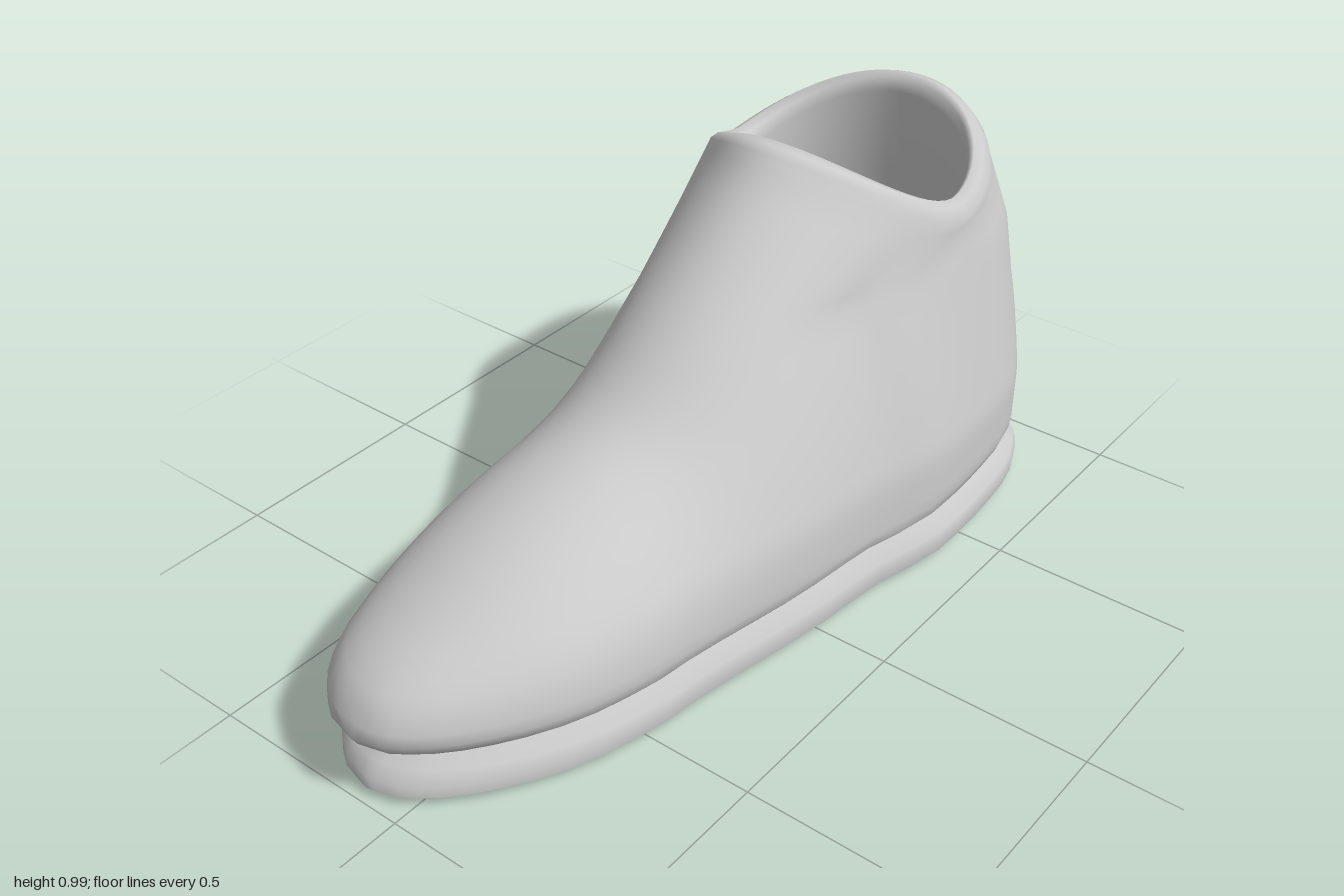
import * as THREE from 'three';

const SIDES = 64;
const lerp = THREE.MathUtils.lerp;

// Smooth function through [input, output] points sorted by input
function curve(pts) {
  const slope = (i) => {
    const a = pts[Math.max(i - 1, 0)], b = pts[Math.min(i + 1, pts.length - 1)];
    return (b[1] - a[1]) / (b[0] - a[0]);
  };
  return (v) => {
    let i = 0;
    while (i < pts.length - 2 && v > pts[i + 1][0]) i++;
    const [x0, y0] = pts[i], [x1, y1] = pts[i + 1], h = x1 - x0;
    const t = THREE.MathUtils.clamp((v - x0) / h, 0, 1), t2 = t * t, t3 = t2 * t;
    return (2 * t3 - 3 * t2 + 1) * y0 + (t3 - 2 * t2 + t) * h * slope(i)
      + (3 * t2 - 2 * t3) * y1 + (t3 - t2) * h * slope(i + 1);
  };
}

// Footprint: right and left edge and centre line along z
const rightEdge = curve([[-1, -0.05], [-0.975, -0.2], [-0.91, -0.34], [-0.83, -0.385], [-0.6, -0.4], [-0.3, -0.385],
  [0, -0.35], [0.17, -0.34], [0.45, -0.37], [0.7, -0.35], [0.88, -0.29], [0.98, -0.18], [1, -0.1]]);
const leftEdge = curve([[-1, -0.05], [-0.982, 0.12], [-0.91, 0.28], [-0.83, 0.34], [-0.7, 0.38], [-0.37, 0.395],
  [-0.2, 0.355], [0.05, 0.325], [0.35, 0.27], [0.5, 0.25], [0.7, 0.19], [0.88, 0.08], [0.98, -0.03], [1, -0.1]]);
const centre = curve([[-1, -0.05], [0, -0.04], [0.5, -0.07], [1, -0.1]]);

// Instep height along z, rising out of reach behind the ankle
const instep = curve([[-1, 4], [-0.6, 2.2], [-0.45, 1.35], [-0.27, 0.985], [-0.15, 0.9], [-0.03, 0.8], [0.08, 0.7],
  [0.2, 0.6], [0.28, 0.55], [0.4, 0.505], [0.6, 0.43], [0.78, 0.345], [0.95, 0.25], [1, 0.17]]);
const heel = curve([[0.18, -0.96], [0.4, -0.967], [0.68, -0.957]]);

// A loop of points, one per angle, starting at the toe
function ring(fn) {
  return Array.from({ length: SIDES }, (_, j) => {
    const a = (j / SIDES) * Math.PI * 2;
    return fn(Math.cos(a), Math.sin(a));
  });
}

// Footprint scaled to a front and back end
function footRing(y, front, back, widthScale = 1) {
  return ring((c, s) => {
    const cx = centre(c);
    const edge = s >= 0 ? leftEdge(c) : rightEdge(c);
    return [cx + (edge - cx) * widthScale, y, lerp(back, front, (c + 1) / 2)];
  });
}

// Level slice of the domed upper
function upperRing(front) {
  const y = instep(front), back = heel(y);
  return ring((c, s) => {
    const z = lerp(back, front, (c + 1) / 2);
    const shift = (-1 - back) * THREE.MathUtils.clamp((-0.4 - z) / 0.5, 0, 1);
    const zf = Math.max(-1, z + shift);
    const cx = centre(zf);
    const rise = Math.max(0.001, instep(z) - 0.17);
    const g = THREE.MathUtils.clamp((y - 0.17) / rise, 0, 1);
    let k = Math.sqrt(1 - g * g);
    if (s >= 0) k *= 1 - 0.44 * Math.max(0, y - 0.3);
    return [cx + ((s >= 0 ? leftEdge(zf) : rightEdge(zf)) - cx) * k, y, z];
  });
}

// Collar loop: peaks at front and back, dips at the sides
function collarRing(x0, x1, front, back, drop, point = 0) {
  return ring((c, s) => {
    const y = 0.83 + Math.pow(Math.abs(c), 1.5) * (c > 0 ? 0.155 : 0.115) - drop;
    const w = c > 0 ? 1 - point * c * c : 1;
    return [(x0 + x1) / 2 + (x1 - x0) / 2 * s * w, y, lerp(back, front, (c + 1) / 2)];
  });
}

const blend = (a, b, t) => a.map((p, j) => p.map((v, k) => lerp(v, b[j][k], t)));
const pointRing = (x, y, z) => ring(() => [x, y, z]);
const bowlRing = (y, rx, rz) => ring((c, s) => [-0.04 + rx * s, y, -0.6 + rz * c]);

// Skin a stack of loops
function loft(name, rings) {
  const index = [];
  for (let i = 0; i < rings.length - 1; i++) {
    for (let j = 0; j < SIDES; j++) {
      const a = i * SIDES + j, b = i * SIDES + (j + 1) % SIDES;
      index.push(a, b, a + SIDES, b, b + SIDES, a + SIDES);
    }
  }
  const geo = new THREE.BufferGeometry();
  geo.setAttribute('position', new THREE.Float32BufferAttribute(rings.flat(2), 3));
  geo.setIndex(index);
  geo.computeVertexNormals();
  const mat = new THREE.MeshStandardMaterial({ color: 0xcccccc, side: THREE.DoubleSide });
  const mesh = new THREE.Mesh(geo, mat);
  mesh.name = name;
  return mesh;
}

export function createModel() {
  const group = new THREE.Group();
  group.name = 'shoe';

  // Sole: slightly crowned bottom, flared edge, pinched top
  group.add(loft('sole', [
    pointRing(-0.05, 0, -0.05),
    footRing(0, 0.8, -0.86, 0.8),
    footRing(0.02, 0.98, -1),
    footRing(0.02, 0.98, -1),
    footRing(0.045, 0.975, -0.995, 1.01),
    footRing(0.075, 0.95, -0.985),
    footRing(0.11, 0.9, -0.945, 0.93),
    footRing(0.135, 0.88, -0.925, 0.9),
  ]));

  // Upper: welt, domed foot, ankle, rolled collar and inside lining
  const rings = [
    footRing(0.12, 0.88, -0.925, 0.9),
    footRing(0.128, 0.96, -0.935, 0.95),
    footRing(0.145, 0.985, -0.95, 0.985),
  ];
  for (const z of [1, 0.985, 0.965, 0.94, 0.9, 0.85, 0.79, 0.72, 0.65, 0.58, 0.5, 0.42, 0.35, 0.28, 0.22, 0.16, 0.1]) {
    rings.push(upperRing(z));
  }
  const ankle = rings[rings.length - 1];
  const collar = collarRing(-0.378, 0.285, -0.235, -0.925, 0.04, 0.2);
  for (let i = 1; i <= 5; i++) rings.push(blend(ankle, collar, i / 5));
  rings.push(
    collarRing(-0.365, 0.27, -0.255, -0.9, 0.012, 0.18),
    collarRing(-0.345, 0.252, -0.28, -0.87, 0, 0.12),
    collarRing(-0.322, 0.24, -0.32, -0.85, 0.01, 0.05),
    collarRing(-0.31, 0.235, -0.365, -0.84, 0.04),
    bowlRing(0.68, 0.28, 0.25),
    bowlRing(0.5, 0.29, 0.27),
    bowlRing(0.32, 0.29, 0.28),
    bowlRing(0.22, 0.24, 0.24),
    bowlRing(0.19, 0.14, 0.14),
    pointRing(-0.04, 0.185, -0.6),
  );
  group.add(loft('upper', rings));
  return group;
}
